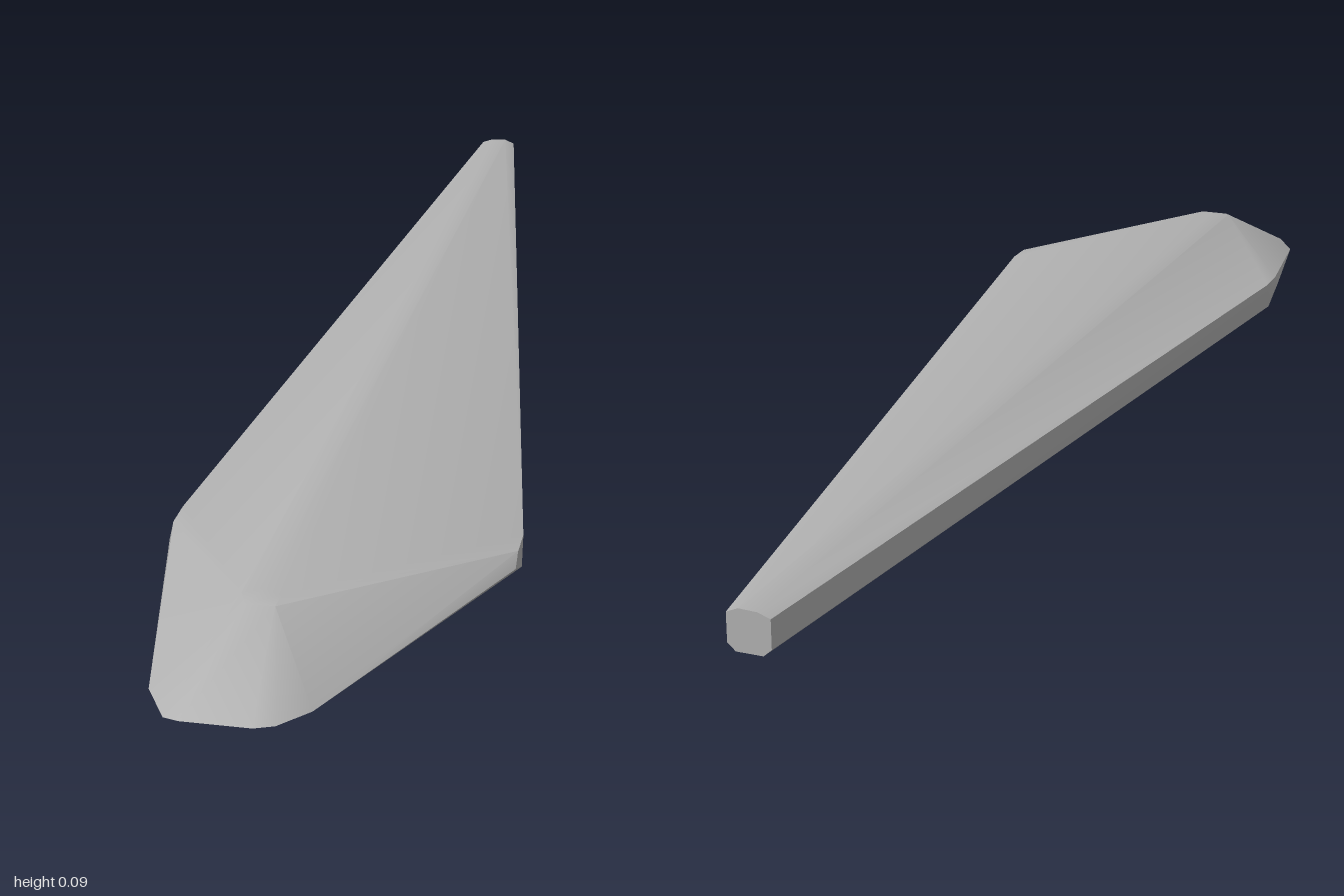
import * as THREE from 'three';
import { ConvexGeometry } from 'three/addons/geometries/ConvexGeometry.js';
import { toCreasedNormals } from 'three/addons/utils/BufferGeometryUtils.js';

const stone = new THREE.MeshStandardMaterial({ color: 0xb0b0b0 });
stone.name = 'grey stone';

// Cross-sections as [x, y, z] corners
const tailEnd = [
  [-0.08, 0.04, -1], [-0.08, 0.079, -1], [-0.063, 0.085, -1], [-0.038, 0.086, -1],
  [-0.022, 0.079, -1], [-0.022, 0.04, -1], [-0.033, 0.03, -1], [-0.069, 0.03, -1],
];
const ridgeFront = [
  [-0.075, 0.084, 0.83], [-0.048, 0.087, 0.82], [-0.025, 0.085, 0.83],
  [-0.066, 0.08, 0.85], [-0.028, 0.08, 0.85],
];
const tip = [
  [-0.165, 0, 0.935], [-0.13, 0, 0.995], [-0.11, 0, 1],
  [-0.02, 0, 1], [0.005, 0, 0.99], [0.04, 0, 0.95],
];
// Bevelled corners where the blade is widest
const shoulders = [-1, 1].flatMap((side) => [
  [side * 0.23, 0.05, 0.55],
  [side * 0.23, 0.05, 0.595],
  [side * 0.23, 0.034, 0.615],
  [side * 0.23, 0.009, 0.56],
]);

export function createModel() {
  const group = new THREE.Group();
  group.name = 'shard';

  const corners = [...tailEnd, ...ridgeFront, ...tip, ...shoulders]
    .map((p) => new THREE.Vector3(...p));
  const blade = new THREE.Mesh(toCreasedNormals(new ConvexGeometry(corners), 0.45), stone);
  blade.name = 'blade';
  group.add(blade);
  return group;
}
